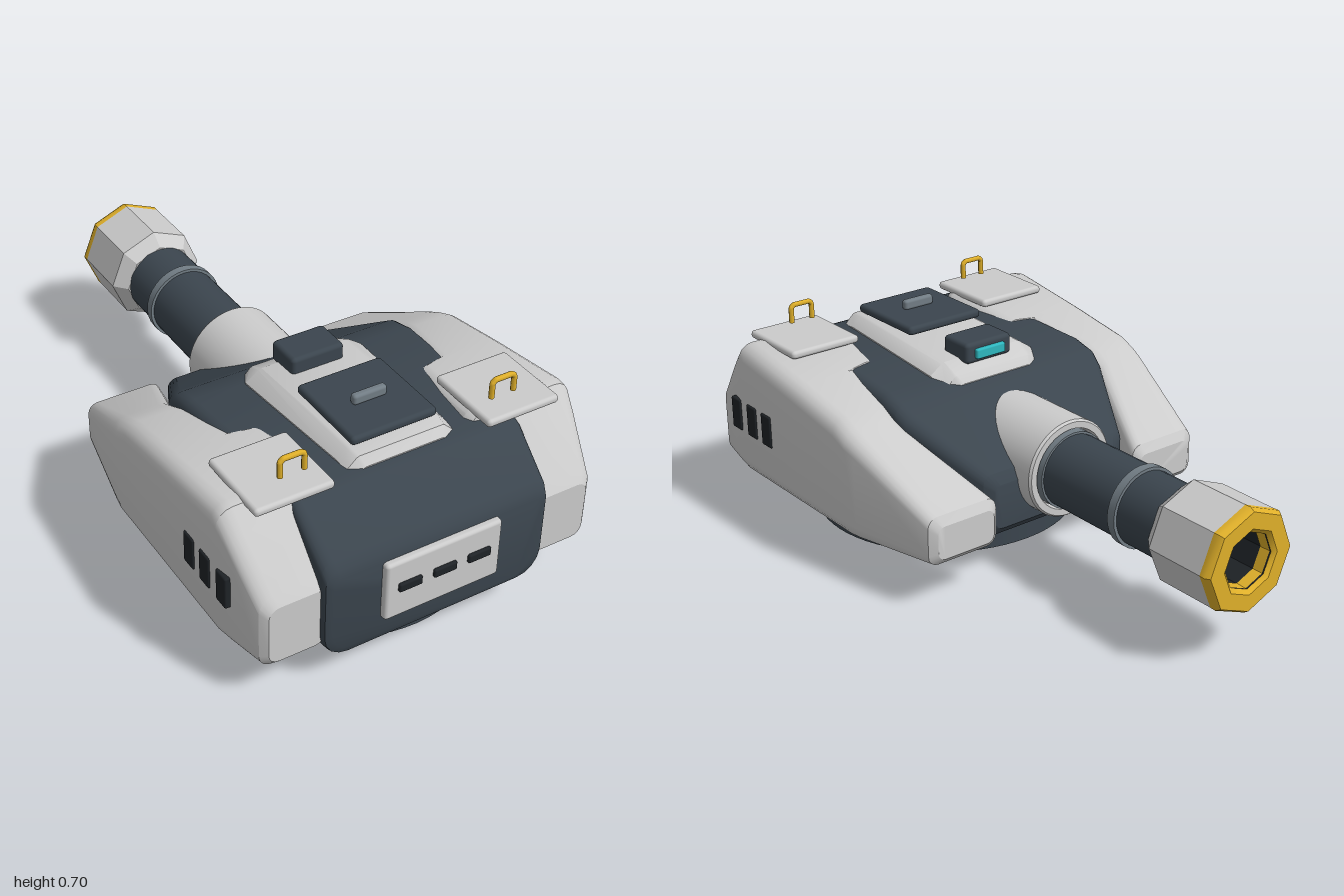
import * as THREE from 'three';
import { toCreasedNormals } from 'three/addons/utils/BufferGeometryUtils.js';
import { RoundedBoxGeometry } from 'three/addons/geometries/RoundedBoxGeometry.js';

const mat = (color) => new THREE.MeshStandardMaterial({ color });
const GREY = mat(0xcccccc), DARK = mat(0x3b454e), BLACK = mat(0x1f2327);
const STEEL = mat(0x727d85), YELLOW = mat(0xe0b02a), CYAN = mat(0x2fb8c0);

// Rectangle with rounded corners, counter-clockwise seen from +z
function section(x0, x1, y0, y1, rBottom, rTop, n = 4) {
  const corners = [
    [x1 - rBottom, y0 + rBottom, rBottom, -0.5], [x1 - rTop, y1 - rTop, rTop, 0],
    [x0 + rTop, y1 - rTop, rTop, 0.5], [x0 + rBottom, y0 + rBottom, rBottom, 1],
  ];
  const pts = [];
  for (const [cx, cy, r, start] of corners)
    for (let i = 0; i <= n; i++) {
      const a = (start + (0.5 * i) / n) * Math.PI;
      pts.push([cx + r * Math.cos(a), cy + r * Math.sin(a)]);
    }
  return pts;
}

// Skin through sections ordered by rising z, with closed ends
function loft(stations) {
  const pos = [], idx = [], n = stations[0].pts.length, last = stations.length - 1;
  for (const { z, pts } of stations) for (const [x, y] of pts) pos.push(x, y, z);
  for (let i = 0; i < last; i++)
    for (let j = 0; j < n; j++) {
      const k = (j + 1) % n, a = i * n + j, b = i * n + k;
      idx.push(a, b, b + n, a, b + n, a + n);
    }
  for (let j = 1; j < n - 1; j++) {
    idx.push(0, j + 1, j);
    idx.push(last * n, last * n + j, last * n + j + 1);
  }
  const g = new THREE.BufferGeometry();
  g.setAttribute('position', new THREE.Float32BufferAttribute(pos, 3));
  g.setIndex(idx);
  return toCreasedNormals(g, 0.5);
}

export function createModel() {
  const root = new THREE.Group();
  root.name = 'turret';

  const add = (name, geometry, material, x = 0, y = 0, z = 0) => {
    const m = new THREE.Mesh(geometry, material);
    m.name = name;
    m.position.set(x, y, z);
    root.add(m);
    return m;
  };
  const block = (name, material, w, h, d, x, y, z, r = 0.01) =>
    add(name, new RoundedBoxGeometry(w, h, d, 2, r), material, x, y, z);
  // Lathe profile of [radius, distance forward], turned to point along -z
  const turned = (name, material, profile, sides) => {
    const pts = profile.map(([r, d]) => new THREE.Vector2(r, d));
    const g = new THREE.LatheGeometry(pts, sides);
    const m = add(name, toCreasedNormals(g, 0.6), material, 0, 0.33, 0);
    m.rotation.x = -Math.PI / 2;
    return m;
  };

  // Turntable
  add('turntable', new THREE.CylinderGeometry(0.443, 0.443, 0.082, 64), DARK, 0, 0.041, 0.435);

  // Hull: z, half width, bottom, top, bottom radius, top radius
  const hull = [
    [-0.16, 0.25, 0.17, 0.32, 0.03, 0.02],
    [-0.14, 0.28, 0.145, 0.355, 0.05, 0.03],
    [0.1, 0.4, 0.1, 0.5, 0.09, 0.04],
    [0.14, 0.41, 0.1, 0.525, 0.1, 0.04],
    [0.22, 0.41, 0.1, 0.545, 0.1, 0.04],
    [0.42, 0.4, 0.1, 0.555, 0.1, 0.04],
    [0.77, 0.385, 0.1, 0.572, 0.1, 0.03],
    [0.8, 0.385, 0.1, 0.56, 0.1, 0.03],
    [0.94, 0.38, 0.1, 0.45, 0.09, 0.04],
    [0.958, 0.375, 0.108, 0.425, 0.08, 0.04],
    [0.968, 0.355, 0.13, 0.4, 0.07, 0.03],
  ];
  add('hull', loft(hull.map(([z, w, y0, y1, rb, rt]) =>
    ({ z, pts: section(-w, w, y0, y1, rb, rt) }))), DARK);

  // Side armour: z, inner x, outer x, bottom, top, corner radius
  const armour = [
    [-0.218, 0.3, 0.51, 0.175, 0.285, 0.025],
    [-0.2, 0.28, 0.535, 0.155, 0.315, 0.035],
    [0.1, 0.385, 0.593, 0.135, 0.475, 0.05],
    [0.14, 0.385, 0.6, 0.133, 0.495, 0.055],
    [0.2, 0.38, 0.6, 0.133, 0.52, 0.055],
    [0.42, 0.335, 0.6, 0.133, 0.556, 0.055],
    [0.44, 0.255, 0.6, 0.133, 0.559, 0.055],
    [0.72, 0.23, 0.6, 0.133, 0.598, 0.055],
    [0.75, 0.24, 0.6, 0.133, 0.593, 0.055],
    [0.8, 0.35, 0.59, 0.135, 0.535, 0.05],
    [0.92, 0.35, 0.565, 0.14, 0.39, 0.045],
    [0.94, 0.36, 0.545, 0.16, 0.36, 0.035],
  ];
  for (const s of [1, -1]) {
    const side = s > 0 ? 'left' : 'right';
    add(side + 'Armour', loft(armour.map(([z, xi, xo, y0, y1, r]) => ({
      z, pts: s > 0 ? section(xi, xo, y0, y1, r, r) : section(-xo, -xi, y0, y1, r, r),
    }))), GREY);

    // Vents on the outer face
    for (const z of [0.78, 0.685, 0.595])
      block(side + 'Vent', BLACK, 0.03, 0.11, 0.055, s * 0.591, 0.345, z, 0.006);

    // Crew hatch and its handle
    block(side + 'Hatch', GREY, 0.255, 0.027, 0.265, s * 0.385, 0.594, 0.682, 0.012);
    const handle = new THREE.CurvePath();
    const p = [[-0.039, 0.627], [-0.039, 0.678], [-0.03, 0.687], [0.03, 0.687], [0.039, 0.678], [0.039, 0.627]]
      .map(([x, y]) => new THREE.Vector3(x, y, 0));
    for (let i = 0; i < p.length - 1; i++) handle.add(new THREE.LineCurve3(p[i], p[i + 1]));
    add(side + 'HatchHandle', new THREE.TubeGeometry(handle, 40, 0.009, 8), YELLOW, s * 0.355, 0, 0.743);
    for (const x of [-0.039, 0.039]) {
      const cap = add(side + 'HandleFoot', new THREE.CircleGeometry(0.009, 8), YELLOW, s * 0.355 + x, 0.627, 0.743);
      cap.rotation.x = Math.PI / 2;
    }
  }

  // Raised roof plate: z, half width at foot, half width on top, top height
  const roof = [
    [0.15, 0.16, 0.13, 0.53], [0.17, 0.185, 0.145, 0.555], [0.23, 0.205, 0.15, 0.585],
    [0.7, 0.185, 0.145, 0.608], [0.75, 0.183, 0.14, 0.602], [0.772, 0.175, 0.13, 0.575],
  ];
  add('roofPlate', loft(roof.map(([z, w, t, y]) => ({
    z, pts: [[-w, 0.48], [w, 0.48], [w, y - 0.035], [t + 0.01, y - 0.004], [t, y],
      [-t, y], [-t - 0.01, y - 0.004], [-w, y - 0.035]],
  }))), GREY);

  // Roof hatch, its grip, and the sight
  block('roofHatch', DARK, 0.29, 0.03, 0.3, 0, 0.627, 0.57, 0.013);
  block('roofHatchGrip', STEEL, 0.115, 0.035, 0.026, 0, 0.656, 0.58);
  block('sightHousing', DARK, 0.182, 0.07, 0.125, 0, 0.605, 0.25, 0.014);
  block('sightLens', CYAN, 0.115, 0.034, 0.02, 0, 0.603, 0.184, 0.006);

  // Rear panel with slots
  block('rearPanel', GREY, 0.395, 0.205, 0.04, 0, 0.297, 0.97, 0.012);
  for (const x of [-0.118, 0, 0.118])
    block('rearSlot', BLACK, 0.078, 0.03, 0.02, x, 0.307, 0.99, 0.006);

  // Gun: mantlet, barrel, collars
  turned('mantlet', GREY, [[0, -0.12], [0.162, -0.12], [0.162, 0.212], [0.156, 0.22], [0.135, 0.22], [0.13, 0.19], [0, 0.19]], 40);
  turned('barrelCollar', STEEL, [[0.1, 0.18], [0.128, 0.18], [0.128, 0.235], [0.11, 0.235]], 32);
  turned('barrel', DARK, [[0, 0.1], [0.121, 0.1], [0.121, 0.74], [0, 0.74]], 32);
  turned('barrelBand', STEEL, [[0.11, 0.54], [0.131, 0.54], [0.131, 0.57], [0.11, 0.57]], 32);

  // Eight-sided muzzle with a bright rim and a dark bore
  turned('muzzle', GREY, [[0.08, 0.715], [0.128, 0.715], [0.167, 0.76], [0.167, 0.967]], 8);
  turned('muzzleRim', YELLOW, [[0.167, 0.965], [0.168, 0.985], [0.158, 1], [0.105, 1], [0.09, 0.985], [0.088, 0.95]], 8);
  turned('bore', BLACK, [[0.09, 0.99], [0.089, 0.8], [0, 0.8]], 8);
  return root;
}
